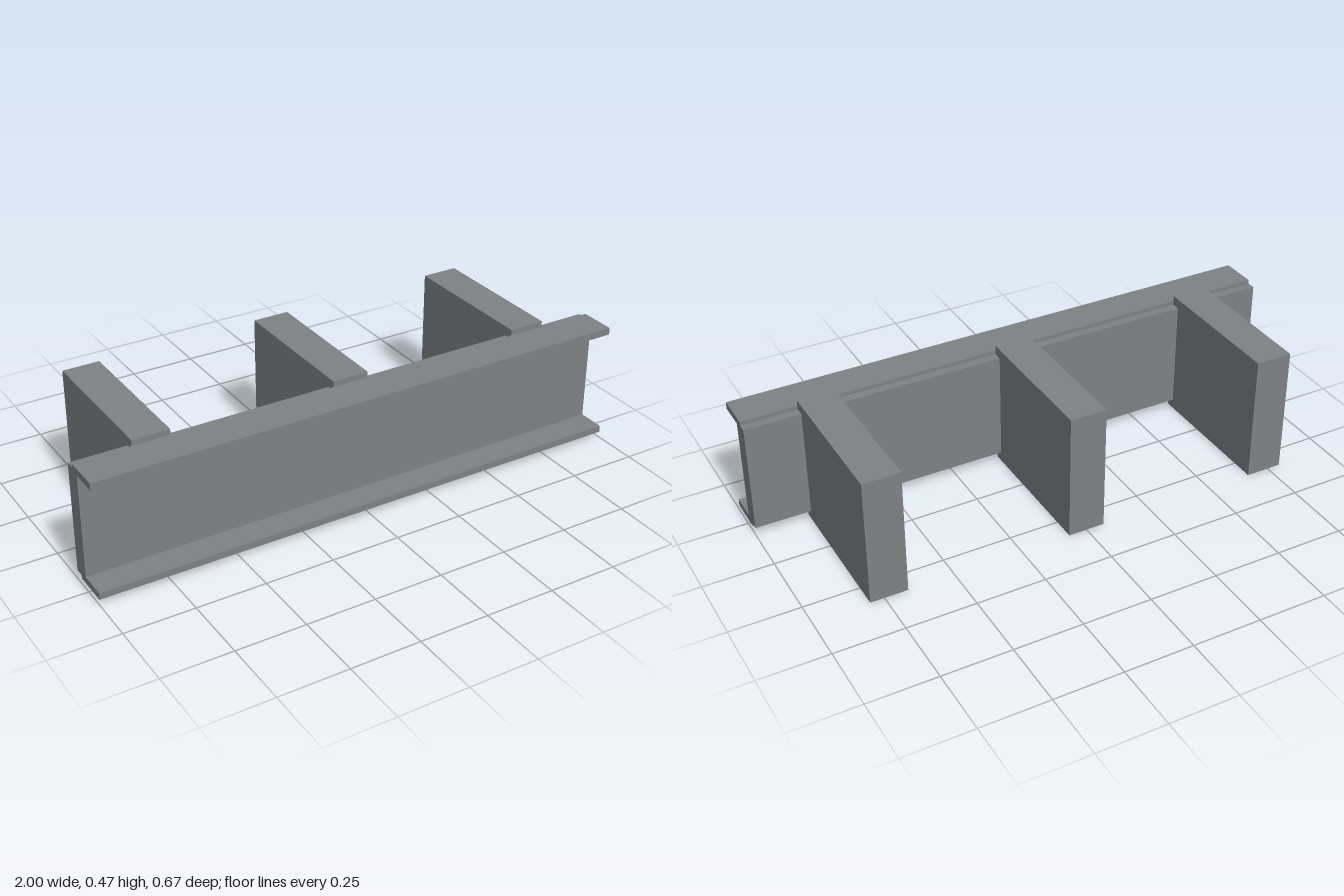
import * as THREE from 'three';

export function createModel() {
  const group = new THREE.Group();
  const steel = new THREE.MeshStandardMaterial({ color: 0x7d8286 });
  steel.name = 'steelGrey';

  // Box given by its extents on each axis
  function slab(name, [x0, x1], [y0, y1], [z0, z1]) {
    const mesh = new THREE.Mesh(new THREE.BoxGeometry(x1 - x0, y1 - y0, z1 - z0), steel);
    mesh.name = name;
    mesh.position.set((x0 + x1) / 2, (y0 + y1) / 2, (z0 + z1) / 2);
    group.add(mesh);
  }

  // Long channel: upright web with a lip above and below
  slab('web', [-1, 1], [0.035, 0.433], [0.168, 0.234]);
  slab('lowerFlange', [-1, 1], [0.022, 0.047], [0.2, 0.334]);
  slab('upperFlange', [-1, 1], [0.421, 0.447], [0.2, 0.334]);

  // Three deep brackets projecting behind the channel
  const names = ['rightBracket', 'middleBracket', 'leftBracket'];
  [-0.733, 0, 0.733].forEach((x, i) => {
    slab(names[i], [x - 0.067, x + 0.067], [0, 0.468], [-0.334, 0.2]);
  });

  return group;
}
